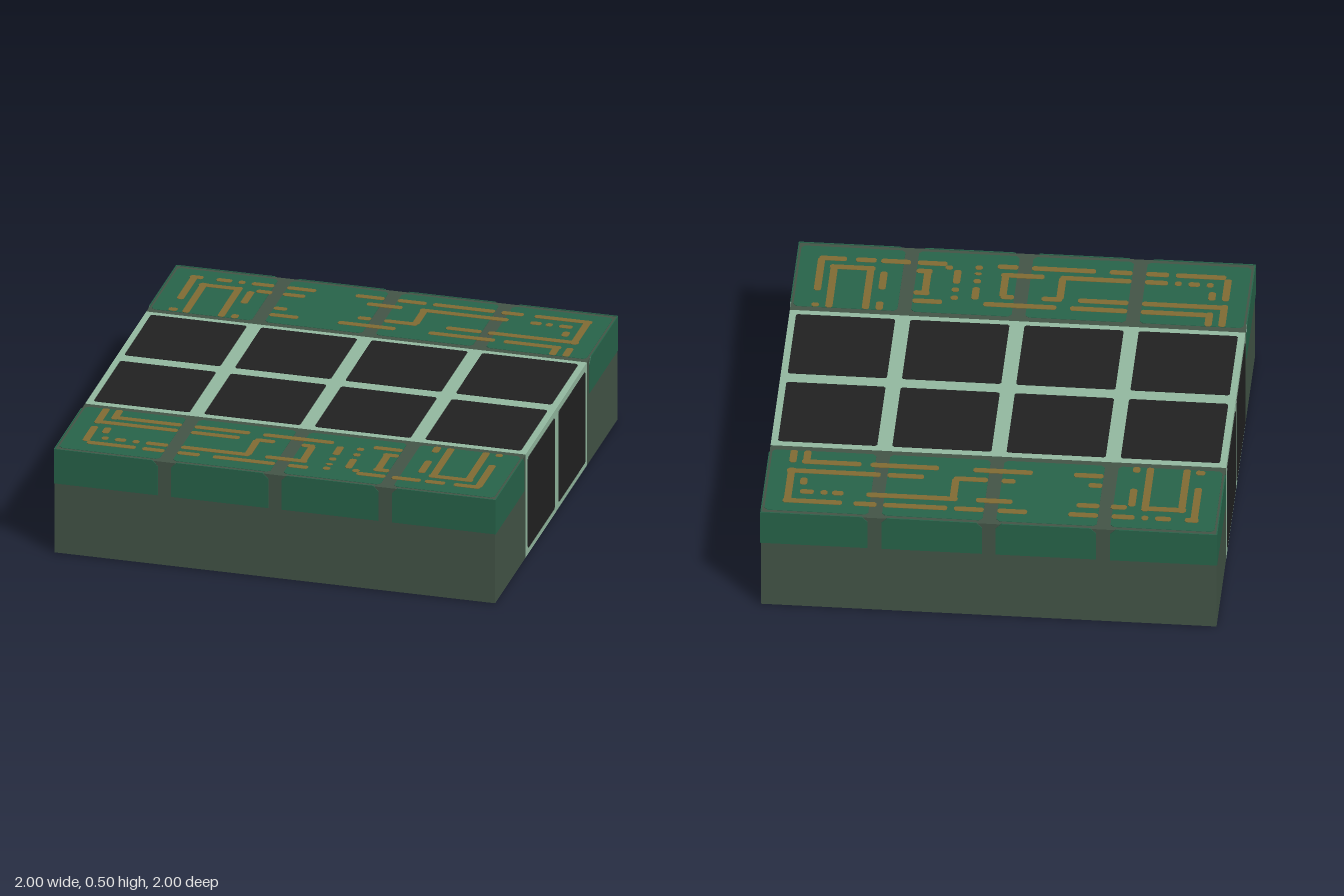
import * as THREE from 'three';
import { mergeGeometries } from 'three/addons/utils/BufferGeometryUtils.js';

const material = (name, color) => new THREE.MeshStandardMaterial({ name, color });

// Circuit traces in hundredths: rows are [z, [x0, x1], ...], columns are [x, [z0, z1], ...]
const backRows = [
  [-90, [-91, -85], [-79, -72], [-69, -66], [-63, -53], [-47, -34], [-16, -3], [3, 16], [19, 47], [50, 60], [65, 91]],
  [-83, [-85, -66], [-59, -52], [-47, -37], [-9, 7], [15, 55], [65, 70], [72, 75], [78, 84]],
  [-68, [-47, -41], [-9, -3], [3, 18], [31, 47], [50, 91]],
  [-61, [-47, -34], [-16, 10], [25, 55], [59, 85]],
  [-55, [-91, -87]],
];
const backColumns = [
  [-89, [-91, -66]], [-83, [-85, -53]], [-67, [-85, -53]], [-61, [-82, -69], [-57, -53]],
  [17, [-83, -68]], [83, [-78, -73], [-62, -53]], [89, [-90, -66], [-62, -53]],
];
const frontRows = [
  [61, [-82, -53], [-47, -22], [-16, 16], [34, 47]],
  [67, [-90, -53], [-47, -25], [-18, -9], [3, 9], [40, 47]],
  [83, [-83, -80], [-77, -72], [-69, -66], [-63, -53], [-47, -16], [-9, 10], [40, 47], [65, 85]],
  [89, [-88, -66], [-63, -53], [-47, -37], [-31, -3], [3, 12], [34, 47], [50, 63], [65, 74], [78, 90]],
];
const frontColumns = [
  [-89, [53, 69], [72, 88]], [-83, [53, 63], [72, 78]], [-17, [67, 83]], [8, [67, 84]],
  [20, [64, 73], [76, 79], [82, 84], [86, 89]], [29, [63, 66], [69, 72], [75, 85]], [33, [85, 88]],
  [42, [66, 84]], [61, [53, 59], [68, 81]], [67, [53, 84]], [83, [53, 84]], [89, [53, 56], [65, 89]],
];

// Thin plate facing +z with its outer surface at z = level; cuts trim corners BL, BR, TR, TL
function plate(x0, y0, x1, y1, level = 0, cuts = [0, 0, 0, 0]) {
  const [a, b, c, d] = cuts;
  const points = [
    [x0 + a, y0], [x1 - b, y0], [x1, y0 + b], [x1, y1 - c],
    [x1 - c, y1], [x0 + d, y1], [x0, y1 - d], [x0, y0 + a],
  ].map(p => new THREE.Vector2(...p)).filter((p, i, all) => !p.equals(all[(i + 1) % 8]));
  const geometry = new THREE.ExtrudeGeometry(new THREE.Shape(points), { depth: 0.005, bevelEnabled: false });
  return geometry.translate(0, 0, level - 0.005);
}

export function createModel() {
  const model = new THREE.Group();
  const base = material('dark grey green', 0x445648);
  const board = material('board green', 0x28654b);
  const copper = material('copper', 0x826c34);
  const mint = material('pale mint', 0x95bba2);
  const black = material('black', 0x222222);

  const add = (parent, name, geometry, mat) => {
    const mesh = new THREE.Mesh(geometry, mat);
    mesh.name = name;
    parent.add(mesh);
    return mesh;
  };
  const face = (name, position, rotation) => {
    const group = new THREE.Group();
    group.name = name;
    group.position.set(...position);
    group.rotation.set(...rotation);
    model.add(group);
    return group;
  };

  // Body: two dark rails and the pale centre band
  for (const s of [-1, 1]) {
    add(model, s > 0 ? 'frontRail' : 'backRail', new THREE.BoxGeometry(1.994, 0.494, 0.497), base)
      .position.set(0, 0.25, s * 0.7485);
  }
  add(model, 'centreBand', new THREE.BoxGeometry(1.994, 0.494, 1), mint).position.y = 0.25;

  const H = Math.PI / 2;
  const front = face('frontFace', [0, 0, 1], [0, 0, 0]);
  const back = face('backFace', [0, 0, -1], [0, Math.PI, 0]);
  const left = face('leftFace', [1, 0, 0], [0, H, 0]);
  const right = face('rightFace', [-1, 0, 0], [0, -H, 0]);
  const top = face('topFace', [0, 0.5, 0], [-H, 0, 0]);
  const bottom = face('bottomFace', [0, 0, 0], [H, 0, 0]);

  // Upper green edge plates around the sides
  for (let i = 0; i < 4; i++) {
    const x0 = i === 0 ? -1 : -0.97 + i * 0.5;
    const x1 = i === 3 ? 1 : -0.53 + i * 0.5;
    const cuts = [0, 0, i === 3 ? 0 : 0.025, i === 0 ? 0 : 0.025];
    for (const side of [front, back]) add(side, 'edgePlate', plate(x0, 0.335, x1, 0.5, 0, cuts), board);
    if (i === 0 || i === 3) {
      for (const side of [left, right]) add(side, 'edgePlate', plate(x0, 0.335, x1, 0.5, 0, cuts), board);
    }
    // Green boards on top, one per tile
    const b0 = i === 0 ? -0.985 : x0;
    const b1 = i === 3 ? 0.985 : x1;
    for (const [y0, y1] of [[-0.975, -0.53], [0.53, 0.975]]) {
      add(top, 'circuitBoard', plate(b0, y0, b1, y1, -0.0015, [0.015, 0.015, 0.015, 0.015]), board);
    }
  }

  // Square black panels on the centre band
  const round = [0.008, 0.008, 0.008, 0.008];
  const panels = (parent, columns, rows) => {
    for (const x of columns) {
      for (const y of rows) add(parent, 'blackPanel', plate(x - 0.217, y - 0.217, x + 0.217, y + 0.217, 0, round), black);
    }
  };
  for (const side of [top, bottom]) panels(side, [-0.75, -0.25, 0.25, 0.75], [-0.25, 0.25]);
  for (const side of [left, right]) panels(side, [-0.25, 0.25], [0.25]);

  // Copper traces on top of the boards
  const traces = (name, rows, columns) => {
    const w = 1.6, parts = [];
    const trace = (x0, z0, x1, z1) =>
      parts.push(plate(x0 / 100, -z1 / 100, x1 / 100, -z0 / 100, 0, round));
    for (const [z, ...runs] of rows) for (const [a, b] of runs) trace(a, z - w, b, z + w);
    for (const [x, ...runs] of columns) for (const [a, b] of runs) trace(x - w, a, x + w, b);
    add(top, name, mergeGeometries(parts), copper);
  };
  traces('backTraces', backRows, backColumns);
  traces('frontTraces', frontRows, frontColumns);

  return model;
}
